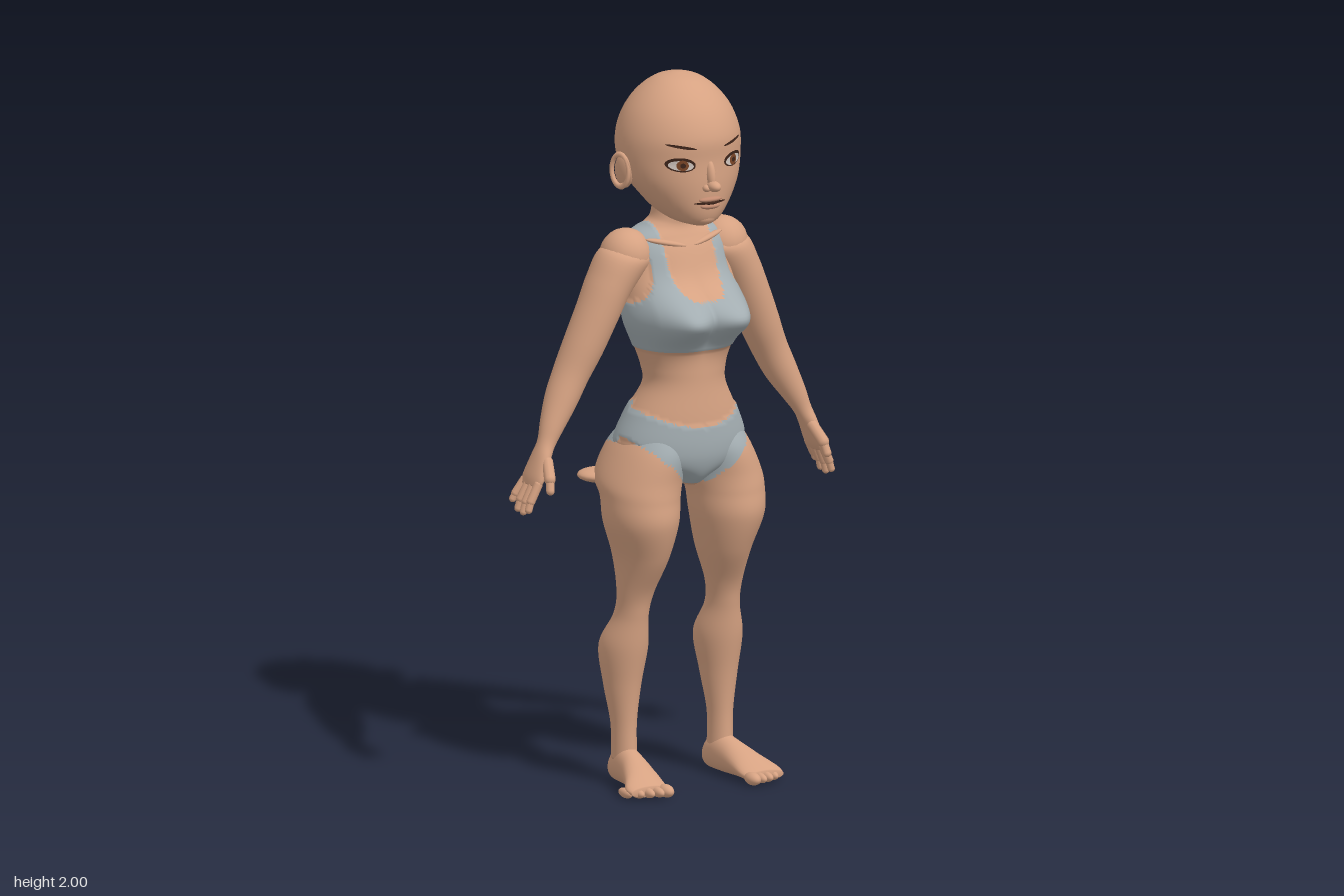
import * as THREE from 'three';

const mat = (name, color) => {
  const m = new THREE.MeshStandardMaterial({ color });
  m.name = name;
  return m;
};

// Catmull-Rom through rows of numbers, t measured in rows
function sample(rows, t) {
  const n = rows.length - 1, i = Math.min(Math.floor(t), n - 1), f = t - i;
  const a = rows[Math.max(i - 1, 0)], b = rows[i], c = rows[i + 1], d = rows[Math.min(i + 2, n)];
  return b.map((_, k) => {
    const v0 = (c[k] - a[k]) / 2, v1 = (d[k] - b[k]) / 2, e = b[k] - c[k];
    return ((2 * e + v0 + v1) * f + (-3 * e - 2 * v0 - v1)) * f * f + v0 * f + b[k];
  });
}

// Closed skin over elliptical sections [x, y, z, halfA, halfB]; paint(p) picks material 0 or 1
function loft(rows, A, B, seg, steps, { shape, paint = () => 0 } = {}) {
  const n = (rows.length - 1) * steps, pos = [], groups = [[], []], P = [];
  const add = (p) => { P.push(p); pos.push(p.x, p.y, p.z); };
  for (let i = 0; i <= n; i++) {
    const [x, y, z, w, d] = sample(rows, i / steps);
    for (let j = 0; j < seg; j++) {
      const t = (j / seg) * Math.PI * 2;
      const p = new THREE.Vector3(x, y, z)
        .addScaledVector(A, w * Math.cos(t)).addScaledVector(B, d * Math.sin(t));
      if (shape) shape(p, Math.cos(t), Math.sin(t));
      add(p);
    }
  }
  const first = rows[0], last = rows[rows.length - 1];
  add(new THREE.Vector3(...first.slice(0, 3)));
  add(new THREE.Vector3(...last.slice(0, 3)));
  const flip = P[P.length - 1].clone().sub(P[P.length - 2]).dot(A.clone().cross(B)) < 0;
  const tri = (a, b, c) => {
    const mid = P[a].clone().add(P[b]).add(P[c]).divideScalar(3);
    groups[paint(mid)].push(...(flip ? [a, c, b] : [a, b, c]));
  };
  const end = n * seg;
  for (let j = 0; j < seg; j++) {
    const k = (j + 1) % seg;
    for (let i = 0; i < n; i++) {
      const r = i * seg;
      tri(r + j, r + k, r + seg + k);
      tri(r + j, r + seg + k, r + seg + j);
    }
    tri(k, j, end + seg);
    tri(end + j, end + k, end + seg + 1);
  }
  const g = new THREE.BufferGeometry();
  g.setAttribute('position', new THREE.Float32BufferAttribute(pos, 3));
  g.setIndex([...groups[0], ...groups[1]]);
  g.addGroup(0, groups[0].length, 0);
  if (groups[1].length) g.addGroup(groups[0].length, groups[1].length, 1);
  g.computeVertexNormals();
  return g;
}

const X = new THREE.Vector3(1, 0, 0), Y = new THREE.Vector3(0, 1, 0), Z = new THREE.Vector3(0, 0, 1);

// [y, half width, front z, back z] to a section
const level = ([y, w, f, b]) => [0, y, (f + b) / 2, w, (f - b) / 2];

const TORSO = [
  [0.85, 0.03, 0.06, -0.09], [0.88, 0.07, 0.095, -0.13], [0.92, 0.17, 0.115, -0.165],
  [0.97, 0.188, 0.122, -0.17], [1.05, 0.158, 0.118, -0.145], [1.13, 0.118, 0.11, -0.105],
  [1.18, 0.12, 0.108, -0.11], [1.24, 0.14, 0.105, -0.12], [1.32, 0.168, 0.1, -0.135],
  [1.4, 0.164, 0.085, -0.148], [1.46, 0.156, 0.065, -0.15], [1.51, 0.15, 0.045, -0.148],
  [1.545, 0.132, 0.025, -0.14], [1.572, 0.085, 0.012, -0.125], [1.6, 0.063, 0.012, -0.115],
  [1.67, 0.06, 0.01, -0.11]].map(level);

const HEAD = [
  [1.999, 0.012, -0.02, -0.045], [1.985, 0.062, 0.035, -0.095], [1.95, 0.109, 0.085, -0.145],
  [1.9, 0.146, 0.126, -0.184], [1.84, 0.167, 0.15, -0.208], [1.78, 0.17, 0.15, -0.206],
  [1.72, 0.157, 0.152, -0.18], [1.67, 0.127, 0.15, -0.13], [1.63, 0.094, 0.145, -0.09],
  [1.605, 0.062, 0.133, -0.03], [1.592, 0.025, 0.11, 0.02]].map(level);

// [x, y, z, half width, half depth]
const LEG = [
  [0.085, 1.02, -0.02, 0.07, 0.1], [0.1, 0.95, -0.03, 0.1, 0.145], [0.125, 0.87, -0.03, 0.111, 0.15],
  [0.134, 0.82, -0.005, 0.104, 0.13], [0.136, 0.75, 0.002, 0.097, 0.126], [0.131, 0.65, -0.008, 0.07, 0.1],
  [0.14, 0.55, -0.02, 0.05, 0.058], [0.145, 0.48, -0.036, 0.046, 0.056], [0.15, 0.39, -0.068, 0.065, 0.077],
  [0.153, 0.28, -0.07, 0.05, 0.06], [0.153, 0.17, -0.062, 0.034, 0.043], [0.152, 0.07, -0.06, 0.033, 0.045]];
const FOOT = [
  [0.15, 0.03, -0.118, 0.02, 0.022], [0.15, 0.046, -0.095, 0.033, 0.044], [0.152, 0.055, -0.05, 0.037, 0.054],
  [0.158, 0.05, 0, 0.041, 0.049], [0.17, 0.038, 0.06, 0.052, 0.036], [0.182, 0.026, 0.105, 0.062, 0.024],
  [0.185, 0.02, 0.135, 0.056, 0.014]];
const ARM = [
  [0.11, 1.5, -0.045, 0.05, 0.06], [0.16, 1.485, -0.045, 0.068, 0.078], [0.205, 1.42, -0.045, 0.062, 0.075],
  [0.24, 1.345, -0.045, 0.059, 0.068], [0.28, 1.255, -0.05, 0.056, 0.062], [0.315, 1.18, -0.055, 0.05, 0.056],
  [0.35, 1.11, -0.05, 0.045, 0.05], [0.385, 1.045, -0.037, 0.034, 0.037], [0.407, 1, -0.028, 0.025, 0.029],
  [0.425, 0.96, -0.026, 0.022, 0.04], [0.445, 0.91, -0.028, 0.019, 0.05], [0.455, 0.885, -0.03, 0.013, 0.045]];

// Region of the sports top and of the briefs
function inTop(p) {
  const u = Math.abs(p.x);
  if (p.y < 1.24) return false;
  const neck = (u / 0.078) ** 4 + (Math.max(1.56 - p.y, 0) / 0.178) ** 4 < 1;
  const armhole = p.y > 1.37 && u > 0.118 + 0.05 * Math.max(0, 1 - (p.y - 1.37) / 0.09) ** 2;
  return !neck && !armhole && u > (p.y > 1.56 ? 0.07 : 0);
}
function inBriefs(p) {
  const u = Math.abs(p.x), back = p.z < -0.03 ? 0.025 : 0;
  const waist = 1.025 + 0.045 * (u / 0.16) ** 2 + back;
  const leg = 0.855 + 0.14 * Math.max(0, (u - 0.04 - back) / 0.15) ** 0.9;
  return p.y < waist && p.y > leg;
}
const clothed = (p) => (inTop(p) || inBriefs(p) ? 1 : 0);

// Bust fullness, and cloth standing slightly proud of the skin
function shapeTorso(p, c, s) {
  const u = Math.abs(p.x), dy = p.y - 1.335;
  const g = Math.exp(-((dy / (dy > 0 ? 0.062 : 0.068)) ** 2) - ((u - 0.08) / (u > 0.08 ? 0.075 : 0.11)) ** 2);
  if (s > 0) p.z += 0.118 * g * Math.min(1, s * 1.8);
  if (clothed(p)) { p.x += 0.004 * c; p.z += 0.004 * s; }
}

// Height of the face surface at x, y
function faceZ(x, y) {
  let lo = 0, hi = HEAD.length - 1;
  for (let i = 0; i < 30; i++) {
    const m = (lo + hi) / 2;
    if (sample(HEAD, m)[1] > y) lo = m; else hi = m;
  }
  const [, , z, w, d] = sample(HEAD, lo);
  return z + d * Math.sqrt(Math.max(0, 1 - (x / w) ** 2));
}

export function createModel() {
  const skin = mat('skin', 0xd6a282), cloth = mat('grey cloth', 0xa3adb1);
  const dark = mat('dark brown', 0x3d241a), iris = mat('iris brown', 0x7a4527);
  const white = mat('eye white', 0xcfc4bd), lip = mat('lip', 0xc08a70);
  const root = new THREE.Group(), body = new THREE.Group();
  body.name = 'figure';
  body.position.x = 0.016;
  root.add(body);

  const put = (name, geo, m, parent = body) => {
    const mesh = new THREE.Mesh(geo, m);
    mesh.name = name;
    parent.add(mesh);
    return mesh;
  };
  const ball = (name, p, r, m = skin) => {
    const b = put(name, new THREE.SphereGeometry(1, 20, 14), m);
    b.position.set(...p);
    b.scale.set(...r);
    return b;
  };
  const finger = (name, a, b, r) => {
    const p = new THREE.Vector3(...a), q = new THREE.Vector3(...b), d = q.clone().sub(p);
    const f = put(name, new THREE.CapsuleGeometry(r, d.length(), 5, 10), skin);
    f.position.copy(p).add(q).multiplyScalar(0.5);
    f.quaternion.setFromUnitVectors(Y, d.normalize());
  };
  // Thin oval laid on the face
  const plate = (name, x, y, w, h, tilt, lift, m) => {
    const g = new THREE.CircleGeometry(1, 20).scale(w, h, 1).rotateZ(tilt).translate(x, y, 0);
    const a = g.attributes.position;
    for (let i = 0; i < a.count; i++) a.setZ(i, faceZ(a.getX(i), a.getY(i)) + lift);
    g.computeVertexNormals();
    put(name, g, m);
  };

  put('torso', loft(TORSO, X, Z, 128, 10, { shape: shapeTorso, paint: clothed }), [skin, cloth]);
  put('head', loft(HEAD, X, Z, 48, 6), [skin]);

  // Nose and mouth
  ball('noseTip', [0, 1.714, 0.168], [0.017, 0.015, 0.026]);
  ball('noseBridge', [0, 1.745, 0.15], [0.013, 0.042, 0.017]).rotation.x = -0.25;
  ball('upperLip', [0, 1.674, 0.147], [0.036, 0.008, 0.014], lip);
  ball('lowerLip', [0, 1.655, 0.146], [0.03, 0.009, 0.014], lip);
  plate('mouthLine', 0, 1.665, 0.05, 0.004, 0, 0.004, dark);
  ball('mouthOpening', [0, 1.665, 0.152], [0.022, 0.005, 0.01], dark);
  ball('chin', [0, 1.618, 0.115], [0.035, 0.022, 0.026]);

  for (const s of [1, -1]) {
    // Face and ear
    plate('eyeLine', s * 0.082, 1.776, 0.037, 0.02, s * 0.08, 0.002, dark);
    plate('eyeWhite', s * 0.082, 1.774, 0.031, 0.014, s * 0.08, 0.004, white);
    plate('iris', s * 0.08, 1.775, 0.015, 0.015, 0, 0.006, iris);
    plate('pupil', s * 0.08, 1.775, 0.007, 0.007, 0, 0.008, dark);
    plate('eyebrow', s * 0.08, 1.826, 0.038, 0.004, s * 0.18, 0.003, dark);
    ball('nostril', [s * 0.016, 1.708, 0.155], [0.011, 0.01, 0.014]);
    ball('ear', [s * 0.168, 1.735, -0.035], [0.014, 0.05, 0.032]).rotation.set(0.2, -s * 0.3, s * -0.12);
    const rim = put('earRim', new THREE.TorusGeometry(0.036, 0.007, 8, 24), skin);
    rim.position.set(s * 0.178, 1.738, -0.038);
    rim.rotation.set(0, s * 1.25, 0);
    rim.scale.set(0.85, 1.25, 1);
    const bone = ball('collarbone', [s * 0.065, 1.532, 0.02], [0.06, 0.008, 0.012]);
    bone.rotation.set(0, s * 0.3, s * 0.2);

    // Leg, foot and toes
    const mirror = (rows, k = 1) => rows.map(([x, ...r]) => [s * k * x, ...r]);
    put('leg', loft(mirror(LEG), X, Z, 56, 9, { paint: (p) => (inBriefs(p) ? 1 : 0) }), [skin, cloth]);
    ball('buttockFold', [s * 0.19, 0.862, -0.13], [0.062, 0.02, 0.055]).rotation.y = s * 0.5;
    put('foot', loft(mirror(FOOT), X, Y, 28, 5), [skin]);
    for (let i = 0; i < 5; i++)
      ball('toe', [s * (0.138 + 0.025 * i), 0.019 - 0.001 * i, 0.142 - 0.003 * i * i],
        [i ? 0.013 : 0.019, i ? 0.014 : 0.018, 0.033]);

    // Arm, palm and fingers; the right arm is held slightly wider
    const k = s < 0 ? 1.03 : 0.97;
    const across = new THREE.Vector3(s * 0.88, 0.47, 0);
    put('arm', loft(mirror(ARM, k), across, Z, 32, 6), [skin]);
    ball('shoulder', [s * 0.152, 1.495, -0.05], [0.072, 0.074, 0.078]);
    for (let i = 0; i < 4; i++) {
      const z = 0.008 - 0.025 * i, drop = [0.01, 0, 0.004, 0.025][i];
      finger('finger', [s * k * 0.452, 0.895, z], [s * k * 0.474, 0.845 + drop / 2, z * 1.1 - 0.002], 0.0125);
      finger('fingertip', [s * k * 0.474, 0.845 + drop / 2, z * 1.1 - 0.002],
        [s * k * 0.481, 0.817 + drop, z * 1.15 - 0.002], 0.0105);
    }
    finger('thumb', [s * k * 0.422, 0.955, 0.005], [s * k * 0.435, 0.915, 0.042], 0.016);
    finger('thumbTip', [s * k * 0.435, 0.915, 0.042], [s * k * 0.44, 0.885, 0.053], 0.012);
  }
  return root;
}
